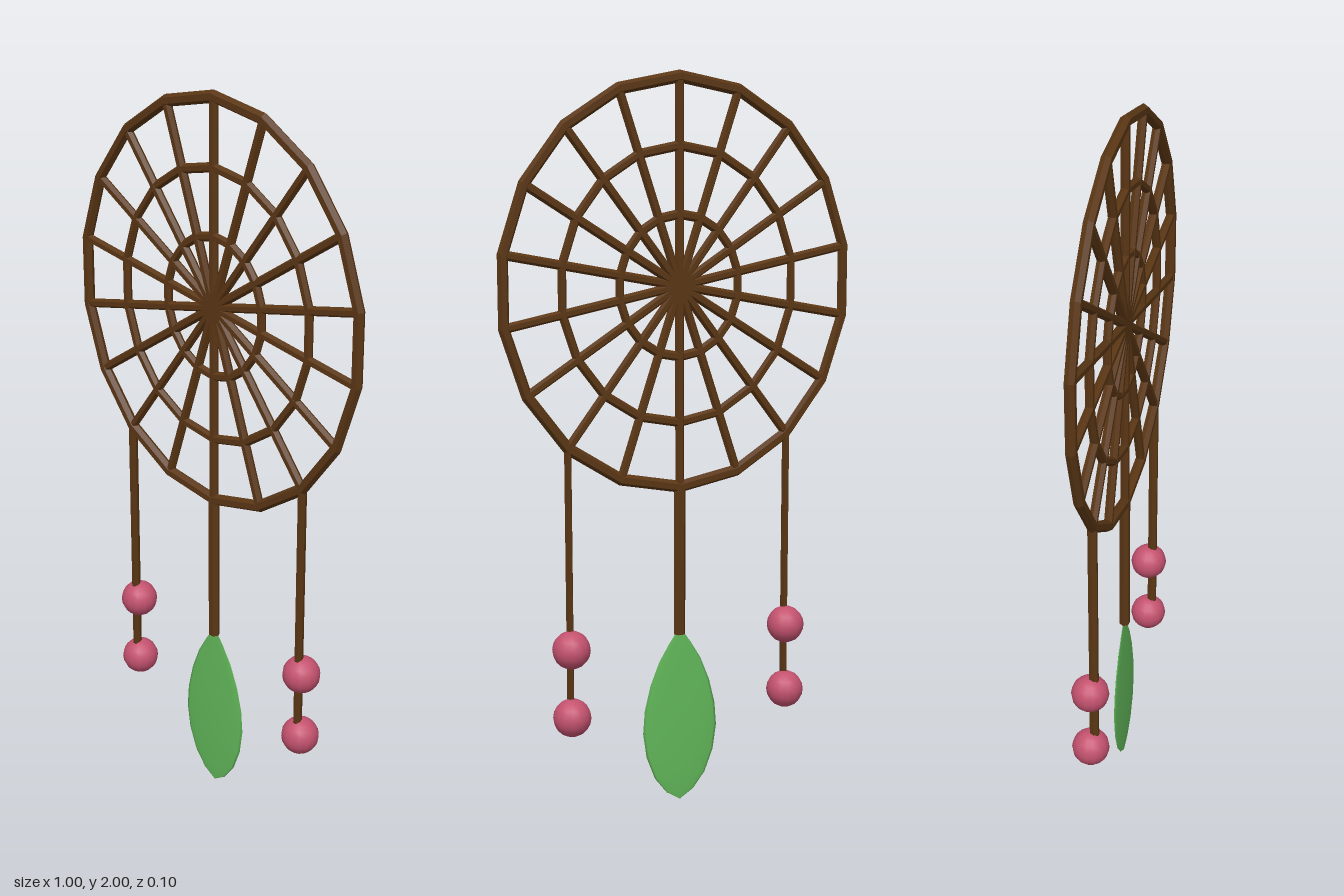
import * as THREE from 'three';

const CY = 1.439, Z = 0.011, RX = 0.495, STRETCH = 1.1, SIDES = 18;

export function createModel() {
  const model = new THREE.Group();
  model.name = 'dreamCatcher';
  const wood = new THREE.MeshStandardMaterial({ color: 0x5a3614, flatShading: true });
  const pink = new THREE.MeshStandardMaterial({ color: 0xc4526f });
  const green = new THREE.MeshStandardMaterial({ color: 0x62b85a });

  function add(name, geometry, material, x = 0, y = 0, z = 0) {
    const mesh = new THREE.Mesh(geometry, material);
    mesh.name = name;
    mesh.position.set(x, y, z);
    model.add(mesh);
    return mesh;
  }

  // Straight six-sided bar between two points in the hoop plane, flat face forward
  function bar(name, x0, y0, x1, y1, radius, depth = 1) {
    const geo = new THREE.CylinderGeometry(radius, radius, Math.hypot(x1 - x0, y1 - y0), 6);
    geo.rotateY(Math.PI / 6).scale(1, 1, depth);
    const mesh = add(name, geo, wood, (x0 + x1) / 2, (y0 + y1) / 2, Z);
    mesh.rotation.z = Math.atan2(y1 - y0, x1 - x0) - Math.PI / 2;
  }

  // Outer hoop and two web rings: slightly oval, eighteen-sided
  const rings = [['hoop', RX, 0.015], ['outerWebRing', 0.334, 0.012], ['innerWebRing', 0.172, 0.012]];
  for (const [name, r, tube] of rings) {
    const geo = new THREE.TorusGeometry(r, tube, 6, SIDES);
    geo.rotateZ(Math.PI / 2).scale(1, STRETCH, 1);
    add(name, geo, wood, 0, CY, Z);
  }

  // Spokes from the hub to each corner of the hoop
  for (let i = 0; i < SIDES; i++) {
    const a = (i / SIDES) * Math.PI * 2;
    bar('spoke', 0, CY, RX * Math.sin(a), CY + RX * STRETCH * Math.cos(a), 0.0125);
  }

  // Centre cord and leaf-shaped feather
  bar('centreCord', 0, 0.9, 0, 0.48, 0.017, 0.87);
  const outline = [
    [0, 0], [0.04, 0.025], [0.075, 0.07], [0.1, 0.135], [0.11, 0.205], [0.105, 0.27],
    [0.088, 0.34], [0.062, 0.405], [0.032, 0.455], [0.006, 0.492], [0, 0.494],
  ].map(([x, y]) => new THREE.Vector2(x, y));
  const leaf = new THREE.LatheGeometry(outline, 16);
  leaf.scale(1, 1, 0.06);
  add('feather', leaf, green, 0, 0, 0.009);

  // Side cords, each with two beads
  for (const side of [-1, 1]) {
    const x = side * 0.319;
    bar('sideCord', x, 1.022, x, 0.28, 0.01, 1.4);
    for (const y of [0.475, 0.285]) add('bead', new THREE.SphereGeometry(0.052, 14, 10), pink, x, y, 0);
  }

  return model;
}
